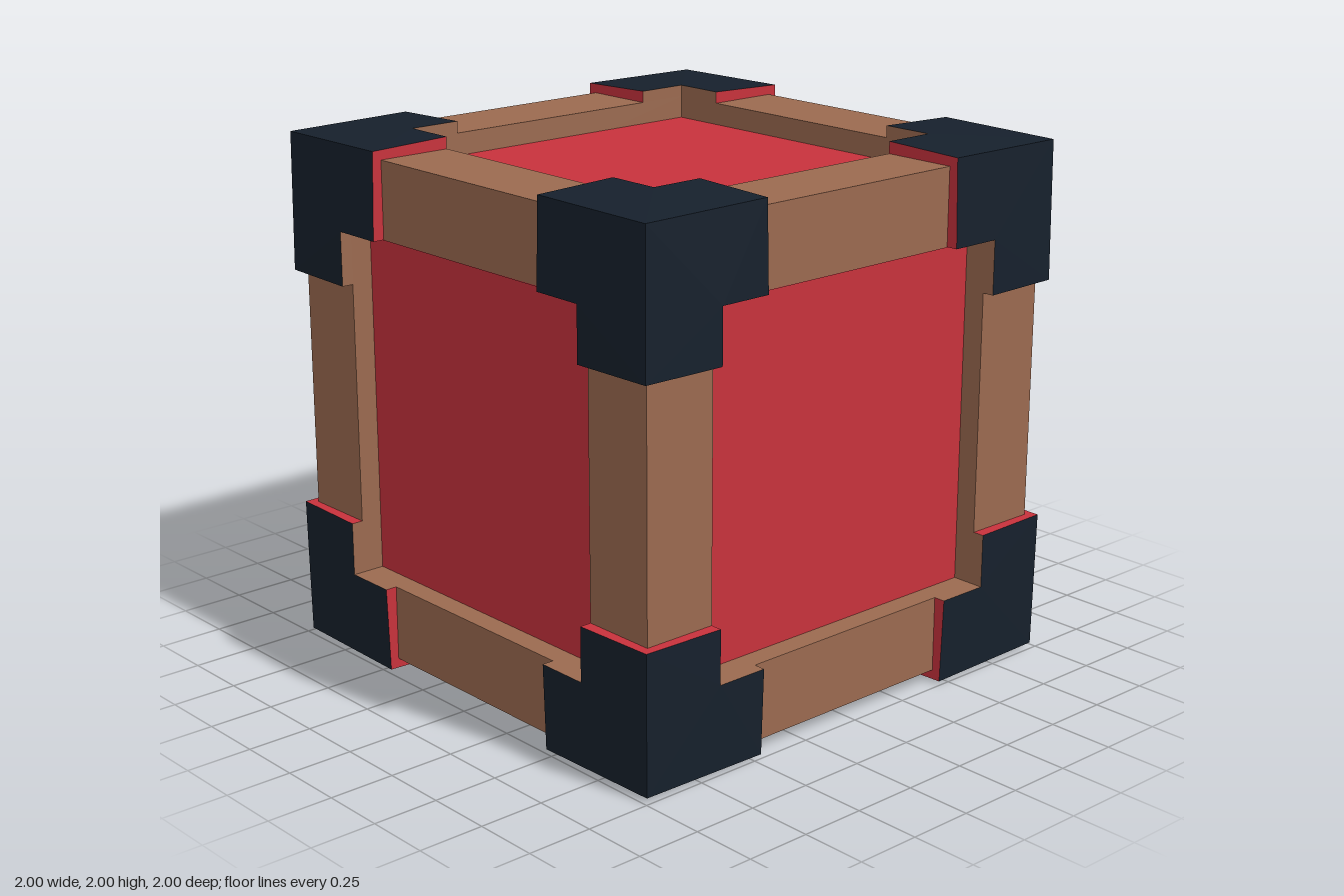
import * as THREE from 'three';

const RED = new THREE.MeshStandardMaterial({ color: 0xc8323c });
const BROWN = new THREE.MeshStandardMaterial({ color: 0x9b6a50 });
const NAVY = new THREE.MeshStandardMaterial({ color: 0x16202c });

const OUT = 0.955, IN = 0.665;          // outer and inner faces of the frame beams
const PANEL = 0.87;                     // depth of the recessed panels
const ARM = 0.46, EDGE = 0.99, TIP = 0.985, TOP = 1; // corner guard

function addBox(parent, name, material, size, pos) {
  const mesh = new THREE.Mesh(new THREE.BoxGeometry(...size), material);
  mesh.name = name;
  mesh.position.set(...pos);
  parent.add(mesh);
}

// Repeat triangles on the three faces that meet at a corner
function cornerGeometry(triangles) {
  const positions = [];
  for (let k = 0; k < 3; k++) {
    for (const p of triangles.flat()) {
      positions.push(p[(3 - k) % 3], p[(4 - k) % 3], p[(5 - k) % 3]);
    }
  }
  const geometry = new THREE.BufferGeometry();
  geometry.setAttribute('position', new THREE.Float32BufferAttribute(positions, 3));
  geometry.computeVertexNormals();
  return geometry;
}

// Wall dropping from the edge p-q of a guard face to the frame
function wall(p, q) {
  const drop = ([a, b]) => [Math.min(a, OUT), Math.min(b, OUT), OUT];
  return [[drop(p), drop(q), q], [drop(p), q, p]];
}

function cornerGuardParts() {
  const tip = [TIP, TIP, TIP];
  const a = [ARM, EDGE, EDGE], a2 = [ARM, IN, TOP];
  const notch = [IN, IN, TOP];
  const b2 = [IN, ARM, TOP], b = [EDGE, ARM, EDGE];
  return [
    ['cornerGuardFaces', NAVY, cornerGeometry([[tip, a, notch], [a, a2, notch], [tip, notch, b], [notch, b2, b]])],
    ['cornerGuardEnds', RED, cornerGeometry([...wall(a, a2), ...wall(b2, b)])],
    ['cornerGuardNotch', BROWN, cornerGeometry([...wall(a2, notch), ...wall(notch, b2)])],
  ];
}

export function createModel() {
  const model = new THREE.Group();
  model.name = 'crate';
  const crate = new THREE.Group();
  crate.name = 'crateBody';
  crate.position.y = 1;
  model.add(crate);

  // Recessed panels on all six sides
  addBox(crate, 'panels', RED, [2 * PANEL, 2 * PANEL, 2 * PANEL], [0, 0, 0]);

  // Twelve square beams; the x beams run through and the others butt against them
  const frame = new THREE.Group();
  frame.name = 'frame';
  crate.add(frame);
  const w = OUT - IN, mid = (OUT + IN) / 2;
  for (const s of [-1, 1]) {
    for (const t of [-1, 1]) {
      addBox(frame, 'beamAcross', BROWN, [2 * OUT, w, w], [0, s * mid, t * mid]);
      addBox(frame, 'beamUpright', BROWN, [w, 2 * IN, w], [s * mid, 0, t * mid]);
      addBox(frame, 'beamDeep', BROWN, [w, w, 2 * IN], [s * mid, t * mid, 0]);
    }
  }

  // Red linings on some inner sides of the frame
  const d = OUT - PANEL, m = (OUT + PANEL) / 2, thin = 0.004;
  for (const s of [-1, 1]) {
    addBox(frame, 'topLining', RED, [2 * IN, thin, d], [0, IN, s * m]);
    addBox(frame, 'topLining', RED, [d, thin, 2 * IN], [s * m, IN, 0]);
  }
  addBox(frame, 'sideLining', RED, [d, 2 * IN, thin], [-m, 0, IN]);
  addBox(frame, 'sideLining', RED, [thin, 2 * IN, d], [-IN, 0, -m]);

  // Eight corner guards, turned into place
  const parts = cornerGuardParts();
  for (const flip of [0, Math.PI]) {
    for (let i = 0; i < 4; i++) {
      const guard = new THREE.Group();
      guard.name = 'cornerGuard';
      guard.rotation.set(flip, i * Math.PI / 2, 0);
      for (const [name, material, geometry] of parts) {
        const mesh = new THREE.Mesh(geometry, material);
        mesh.name = name;
        guard.add(mesh);
      }
      crate.add(guard);
    }
  }
  return model;
}
